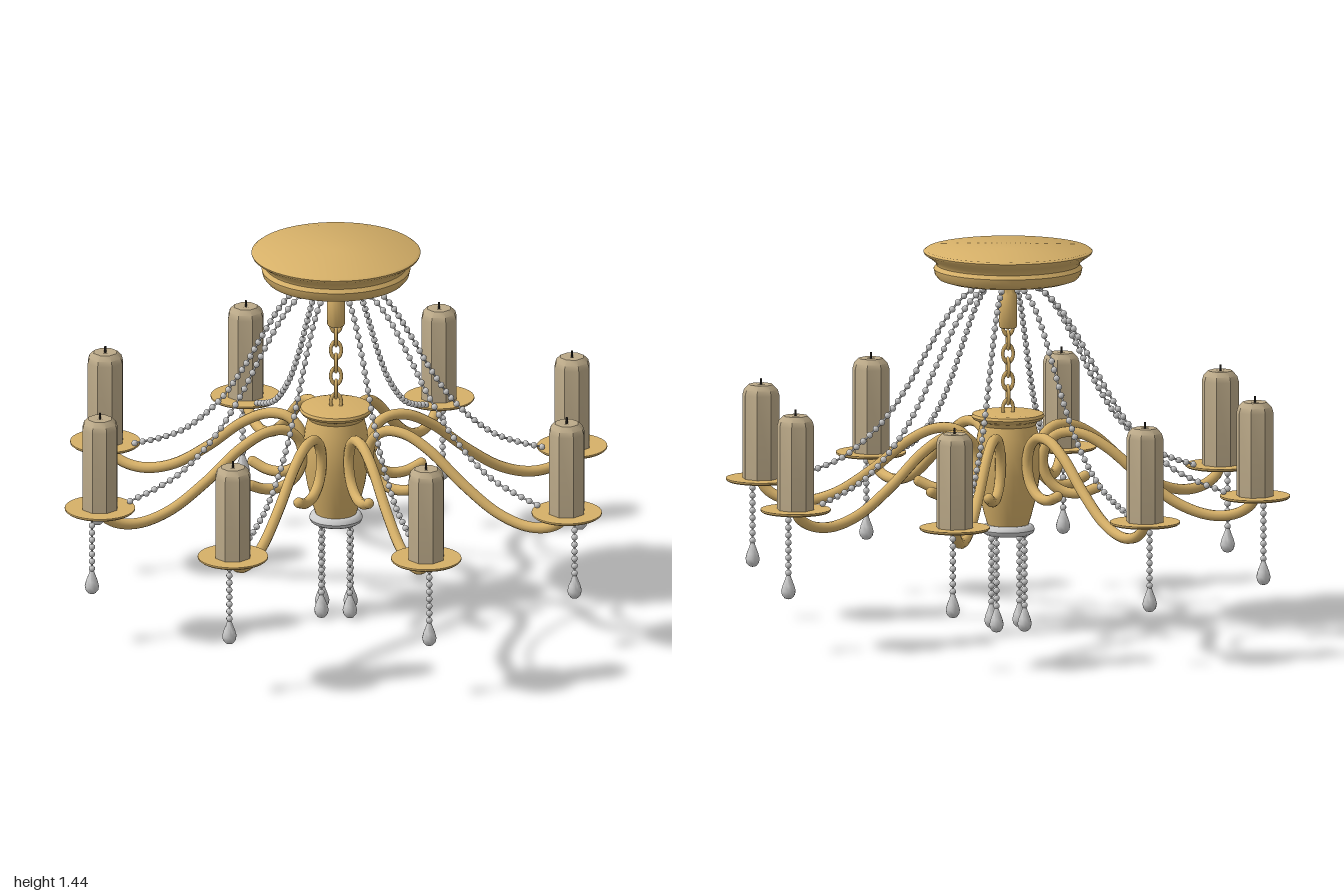
import * as THREE from 'three';
import { mergeGeometries, toCreasedNormals } from 'three/addons/utils/BufferGeometryUtils.js';

const mat = (color) => new THREE.MeshStandardMaterial({ color });
const gold = mat(0xd6b068);
const grey = mat(0xcccccc);
const wax = mat(0xbba988);
const black = mat(0x2a2622);

const v3 = (x, y, z = 0) => new THREE.Vector3(x, y, z);
const curve = (pts) => new THREE.CatmullRomCurve3(pts.map(([x, y]) => v3(x, y)), false, 'centripetal');

function part(name, geometry, material, parent) {
  const mesh = new THREE.Mesh(geometry, material);
  mesh.name = name;
  parent.add(mesh);
  return mesh;
}

// Turned profile, listed from bottom to top as [radius, height]
function turned(profile, sides) {
  const points = profile.map(([r, y]) => new THREE.Vector2(r, y));
  return toCreasedNormals(new THREE.LatheGeometry(points, sides), 0.7);
}

// Beads threaded along a path
function beadString(path, spacing, radius) {
  const count = Math.round(path.getLength() / spacing);
  const pieces = [new THREE.TubeGeometry(path, count, 0.004, 4)];
  for (let i = 0; i <= count; i++) {
    const p = path.getPointAt(i / count);
    pieces.push(new THREE.SphereGeometry(radius, 10, 7).translate(p.x, p.y, p.z));
  }
  return mergeGeometries(pieces);
}

// Vertical bead string ending in a teardrop
function pendant(name, x, z, top, bottom, parent) {
  const group = new THREE.Group();
  group.name = name;
  group.position.set(x, bottom, z);
  parent.add(group);
  const path = new THREE.LineCurve3(v3(0, top - bottom), v3(0, 0.1));
  part('pendantBeads', beadString(path, 0.03, 0.012), grey, group);
  const drop = [[0, 0], [0.014, 0.004], [0.024, 0.016], [0.027, 0.032], [0.022, 0.052], [0.012, 0.078], [0.005, 0.1], [0, 0.102]];
  part('teardrop', turned(drop, 12), grey, group);
}

// One arm, lying along +x, with its dish, candle and bead strands
function makeArm() {
  const arm = new THREE.Group();
  arm.name = 'arm';
  const armPath = curve([
    [0.34, 0.555], [0.28, 0.532], [0.21, 0.535], [0.155, 0.575], [0.132, 0.645], [0.15, 0.715],
    [0.2, 0.755], [0.28, 0.755], [0.38, 0.705], [0.52, 0.59], [0.66, 0.498], [0.78, 0.464],
    [0.87, 0.475], [0.925, 0.51], [0.94, 0.54],
  ]);
  part('scrollArm', new THREE.TubeGeometry(armPath, 72, 0.02, 10), gold, arm);
  part('scrollTip', new THREE.SphereGeometry(0.02, 10, 8), gold, arm).position.set(0.34, 0.555, 0);

  const dish = [[0, 0.535], [0.125, 0.535], [0.131, 0.54], [0.131, 0.546], [0.125, 0.546], [0, 0.544]];
  part('dripDish', turned(dish, 32), gold, arm).position.x = 0.94;

  const candle = [[0, 0.54], [0.07, 0.54], [0.07, 0.86], [0.064, 0.88], [0.046, 0.898], [0.018, 0.899], [0, 0.894]];
  part('candle', turned(candle, 8), wax, arm).position.x = 0.94;
  part('wick', new THREE.CylinderGeometry(0.004, 0.004, 0.03, 6), black, arm).position.set(0.94, 0.905, 0);

  const swag = curve([
    [0.05, 1.325], [0.1, 1.305], [0.16, 1.265], [0.22, 1.195], [0.3, 1.06], [0.38, 0.915],
    [0.48, 0.77], [0.62, 0.64], [0.72, 0.59], [0.82, 0.555],
  ]);
  part('beadSwag', beadString(swag, 0.034, 0.012), grey, arm);
  pendant('dishPendant', 0.972, 0, 0.535, 0.208, arm);
  return arm;
}

export function createModel() {
  const model = new THREE.Group();
  model.name = 'chandelier';

  // Ceiling plate and stem
  const canopy = [
    [0, 1.325], [0.235, 1.325], [0.26, 1.333], [0.272, 1.348], [0.277, 1.37], [0.266, 1.384],
    [0.27, 1.395], [0.288, 1.41], [0.312, 1.426], [0.315, 1.434], [0.306, 1.441], [0, 1.443],
  ];
  part('ceilingPlate', turned(canopy, 48), gold, model);
  const stem = [[0, 1.145], [0.03, 1.145], [0.033, 1.15], [0.033, 1.27], [0.026, 1.28], [0.026, 1.33]];
  part('stem', turned(stem, 20), gold, model);

  // Chain of links turned alternately
  const links = 7;
  for (let i = 0; i < links; i++) {
    const link = part('chainLink', new THREE.TorusGeometry(0.02, 0.0065, 8, 18), gold, model);
    link.scale.y = 1.55;
    link.position.y = 0.84 + (i * 0.31) / (links - 1);
    link.rotation.y = (i % 2) * Math.PI / 2;
  }

  // Central vase-shaped hub with a collar beneath
  const hub = [
    [0, 0.39], [0.072, 0.39], [0.088, 0.44], [0.108, 0.52], [0.121, 0.6], [0.124, 0.67], [0.115, 0.74],
    [0.104, 0.78], [0.112, 0.795], [0.13, 0.802], [0.136, 0.812], [0.132, 0.822], [0.115, 0.826], [0, 0.826],
  ];
  part('hub', turned(hub, 32), gold, model);
  const collar = [[0, 0.367], [0.084, 0.367], [0.095, 0.374], [0.1, 0.386], [0.095, 0.398], [0.084, 0.405], [0, 0.405]];
  part('collar', turned(collar, 32), grey, model);

  // Four pendants under the collar
  for (const x of [-0.053, 0.053])
    for (const z of [-0.053, 0.053]) pendant('hubPendant', x, z, 0.37, 0.005, model);

  // Eight arms in a ring
  const arm = makeArm();
  for (let i = 0; i < 8; i++) {
    const copy = arm.clone();
    copy.rotation.y = Math.PI / 8 + (i * Math.PI) / 4;
    model.add(copy);
  }
  return model;
}
